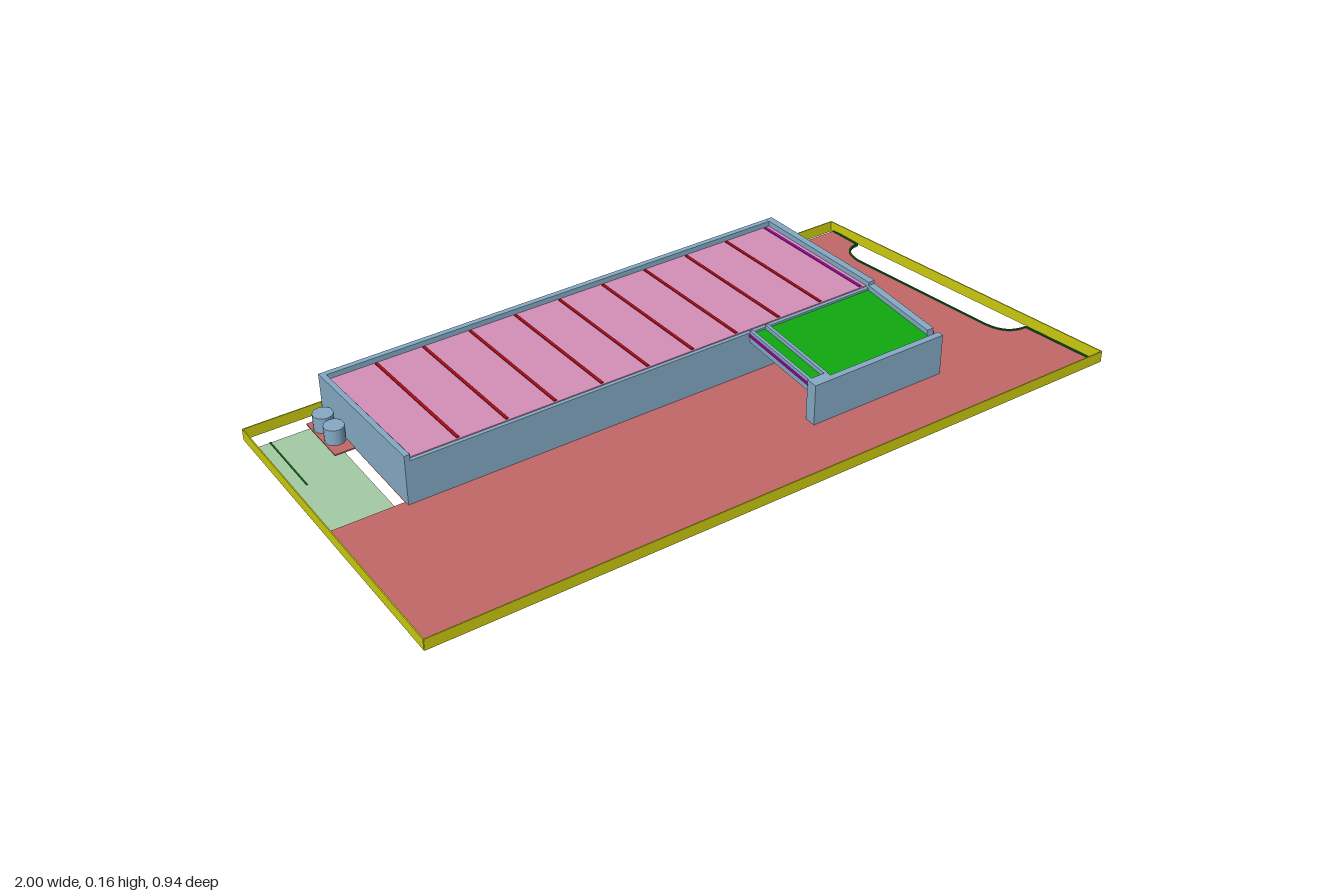
import * as THREE from 'three';

const mat = (name, color) => {
  const m = new THREE.MeshStandardMaterial({ color, side: THREE.DoubleSide });
  m.name = name;
  return m;
};

export function createModel() {
  const root = new THREE.Group();
  root.name = 'buildingOnPlot';
  const yellow = mat('boundary yellow', 0xcccc10);
  const red = mat('paving red', 0xc46868);
  const blue = mat('wall blue', 0x86abc6);
  const pink = mat('roof pink', 0xd890ba);
  const green = mat('porch roof green', 0x10a810);
  const pale = mat('lawn pale green', 0xa4cca4);
  const darkGreen = mat('kerb green', 0x106018);
  const crimson = mat('seam red', 0xb00c18);
  const magenta = mat('trim magenta', 0xa808a8);

  const add = (name, geo, material, parent = root) => {
    const m = new THREE.Mesh(geo, material);
    m.name = name;
    parent.add(m);
    return m;
  };
  // box from minimum and maximum corners
  const box = (name, m, x0, x1, y0, y1, z0, z1, parent) => {
    const g = new THREE.BoxGeometry(x1 - x0, y1 - y0, z1 - z0);
    g.translate((x0 + x1) / 2, (y0 + y1) / 2, (z0 + z1) / 2);
    return add(name, g, m, parent);
  };
  // side profile of [z, y] points, extruded from x0 to x1
  const profile = (name, m, x0, x1, pts, parent) => {
    const s = new THREE.Shape(pts.map(p => new THREE.Vector2(...p)));
    const g = new THREE.ExtrudeGeometry(s, { depth: x1 - x0, bevelEnabled: false });
    g.rotateY(-Math.PI / 2).translate(x1, 0, 0);
    return add(name, g, m, parent);
  };
  // sloping plate between two [z, top height] ends
  const slope = (name, m, x0, x1, a, b, t, parent) =>
    profile(name, m, x0, x1, [a, b, [b[0], b[1] - t], [a[0], a[1] - t]], parent);
  // flat plate from a plan shape drawn in (x, -z)
  const plate = (name, m, shape, y, t) => {
    const g = new THREE.ExtrudeGeometry(shape, { depth: t, bevelEnabled: false, curveSegments: 10 });
    g.rotateX(-Math.PI / 2).translate(0, y, 0);
    return add(name, g, m);
  };
  // thin upright strip along [x, z] points
  const fence = (name, m, pts, y0, y1, t) => {
    const grp = new THREE.Group();
    grp.name = name;
    for (let i = 0; i < pts.length - 1; i++) {
      const [ax, az] = pts[i], [bx, bz] = pts[i + 1];
      const g = new THREE.BoxGeometry(Math.hypot(bx - ax, bz - az), y1 - y0, t);
      g.rotateY(-Math.atan2(bz - az, bx - ax));
      g.translate((ax + bx) / 2, (y0 + y1) / 2, (az + bz) / 2);
      add(name + 'Panel', g, m, grp);
    }
    root.add(grp);
  };

  // boundary around the plot, slanted on one side
  fence('boundaryWall', yellow,
    [[-1, -0.47], [0.835, -0.47], [0.998, 0.47], [-1, 0.47], [-1, -0.47]], 0.018, 0.05, 0.003);

  // paving with a curved bay on the slanted side
  const bay = s => {
    s.lineTo(0.945, -0.24);
    s.quadraticCurveTo(0.88, -0.24, 0.865, -0.17);
    s.lineTo(0.79, 0.29);
    s.quadraticCurveTo(0.79, 0.36, 0.845, 0.36);
    s.lineTo(0.835, 0.46);
  };
  const paving = new THREE.Shape();
  paving.moveTo(-1, -0.445);
  paving.lineTo(0.98, -0.445);
  bay(paving);
  paving.lineTo(0.59, 0.46);
  paving.lineTo(0.59, 0.015);
  paving.lineTo(-1, 0.015);
  plate('paving', red, paving, 0.018, 0.004);

  const kerb = new THREE.Path();
  kerb.moveTo(0.98, -0.445);
  bay(kerb);
  fence('bayKerb', darkGreen, kerb.getPoints(8).map(p => [p.x, -p.y]), 0.018, 0.025, 0.005);

  // underside of the forecourt, stepping round the porch
  const base = new THREE.Shape([[-1, -0.445], [0.975, -0.445], [0.94, -0.28], [0.61, -0.28],
    [0.2, -0.28], [0.2, 0], [-1, 0]].map(p => new THREE.Vector2(...p)));
  plate('forecourtBase', yellow, base, 0.015, 0.002);
  box('frontKerb', darkGreen, -0.79, 0.61, 0.018, 0.023, 0.445, 0.45);

  // sunken lawn
  box('lawn', pale, -0.98, -0.81, 0, 0.004, -0.44, -0.015);
  box('lawnMarker', darkGreen, -0.947, -0.943, 0.004, 0.006, -0.44, -0.23);

  // main building
  const hall = new THREE.Group();
  hall.name = 'mainBuilding';
  root.add(hall);
  box('floor', red, -0.79, 0.6, 0.018, 0.022, -0.46, 0, hall);
  box('frontWall', blue, -0.79, 0.59, 0.018, 0.146, -0.018, 0, hall);
  box('backWall', blue, -0.79, 0.61, 0.018, 0.14, -0.46, -0.445, hall);
  profile('leftEndWall', blue, 0.59, 0.61, [[-0.46, 0.018], [0.242, 0.018], [0.242, 0.142],
    [0, 0.154], [0, 0.164], [-0.46, 0.14]], hall);
  profile('rightEndWall', blue, -0.79, -0.775,
    [[-0.46, 0.018], [0, 0.018], [0, 0.164], [-0.46, 0.14]], hall);
  slope('mainRoof', pink, -0.775, 0.59, [-0.445, 0.125], [-0.01, 0.149], 0.004, hall);
  for (let i = 0; i < 9; i++) {
    const x = -0.64 + i * 0.135;
    slope('roofSeam', crimson, x - 0.004, x + 0.004, [-0.44, 0.128], [-0.015, 0.1515], 0.004, hall);
  }
  for (const x of [-0.775, 0.57])
    slope('roofEdgeTrim', magenta, x, x + 0.008, [-0.44, 0.128], [-0.015, 0.1515], 0.004, hall);
  slope('wallTrim', magenta, 0.61, 0.613, [-0.44, 0.127], [-0.02, 0.151], 0.006, hall);
  slope('porchWallTrim', magenta, 0.61, 0.613, [-0.005, 0.144], [0.242, 0.13], 0.006, hall);

  // porch, open on one side
  const porch = new THREE.Group();
  porch.name = 'porch';
  root.add(porch);
  box('porchFloor', red, 0.2, 0.61, 0.018, 0.022, 0, 0.28, porch);
  box('porchFrontWall', blue, 0.2, 0.61, 0.018, 0.14, 0.262, 0.28, porch);
  box('porchColumn', blue, 0.2, 0.26, 0.018, 0.14, 0.247, 0.262, porch);
  for (const x of [0.203, 0.252])
    slope('porchBeam', blue, x, x + 0.009, [0, 0.152], [0.25, 0.14], 0.035, porch);
  slope('porchRoof', green, 0.21, 0.59, [0, 0.14], [0.25, 0.127], 0.004, porch);
  slope('porchRoofTrim', magenta, 0.199, 0.203, [0, 0.142], [0.25, 0.13], 0.006, porch);

  // canopy on the end wall
  const canopy = new THREE.Group();
  canopy.name = 'sideCanopy';
  root.add(canopy);
  box('canopySlab', pink, 0.61, 0.663, 0.067, 0.071, -0.235, -0.118, canopy);
  for (const z of [-0.237, -0.178, -0.119])
    box('canopyRib', crimson, 0.61, 0.664, 0.066, 0.073, z - 0.002, z + 0.002, canopy);
  box('canopyEdge', magenta, 0.663, 0.666, 0.066, 0.072, -0.237, -0.117, canopy);

  // round tanks on a small pad behind the far end
  const tanks = new THREE.Group();
  tanks.name = 'tanks';
  root.add(tanks);
  box('tankPad', red, -0.845, -0.79, 0.018, 0.022, -0.44, -0.28, tanks);
  for (const z of [-0.4, -0.338]) {
    const g = new THREE.CylinderGeometry(0.027, 0.027, 0.044, 16);
    g.translate(-0.815, 0.044, z);
    add('tank', g, blue, tanks);
  }
  return root;
}
